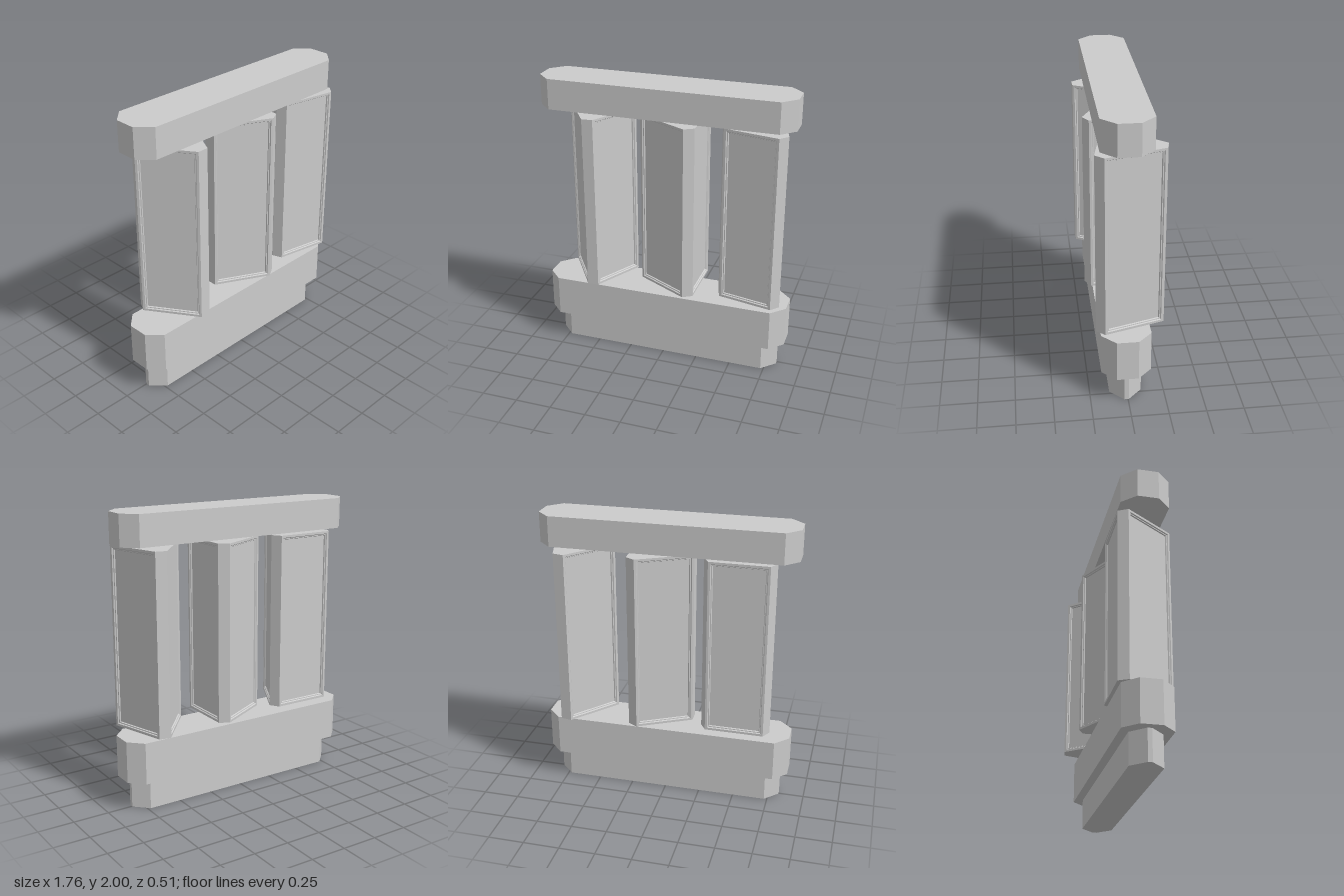
import * as THREE from 'three';

const grey = new THREE.MeshStandardMaterial({ color: 0xcccccc, flatShading: true });

// Long slab with chamfered vertical corners
function slab(name, width, depth, chamfer, y0, y1) {
  const w = width / 2, d = depth / 2, c = chamfer;
  const shape = new THREE.Shape([
    [-w + c, -d], [w - c, -d], [w, -d + c], [w, d - c],
    [w - c, d], [-w + c, d], [-w, d - c], [-w, -d + c],
  ].map(([x, y]) => new THREE.Vector2(x, y)));
  const geo = new THREE.ExtrudeGeometry(shape, { depth: y1 - y0, bevelEnabled: false });
  geo.rotateX(-Math.PI / 2);
  const mesh = new THREE.Mesh(geo, grey);
  mesh.name = name;
  mesh.position.set(0, y0, 0.01);
  return mesh;
}

// Cross-section (x, z): a triangle with cut corners; even edges are the cut corners
const section = [
  [0.178, 0.192], [0.1125, 0.231], [-0.2475, 0.039],
  [-0.2475, -0.039], [0.1125, -0.231], [0.178, -0.192],
];

// Prism over the cross-section; its wide sides can hold a sunken framed panel
function prism(name, y0, y1, scale, panelled) {
  const pos = [];
  const tri = (...pts) => pts.forEach((p) => pos.push(p.x, p.y, p.z));
  const quad = (a, b, c, d) => { tri(a, b, c); tri(a, c, d); };
  const at = (i, y) => new THREE.Vector3(section[i % 6][0] * scale, y, section[i % 6][1] * scale);

  for (let i = 0; i < 6; i++) {
    const left = at(i + 1, y0), right = at(i, y0);
    const along = right.clone().sub(left).normalize();
    const normal = along.clone().cross(new THREE.Vector3(0, 1, 0));
    // Rectangle on this side, inset from its edges and sunk below the surface
    const ring = (inset, sink) => [
      [left, 1, y0 + inset], [right, -1, y0 + inset], [right, -1, y1 - inset], [left, 1, y1 - inset],
    ].map(([p, s, y]) => p.clone().addScaledVector(along, s * inset).addScaledVector(normal, -sink).setY(y));

    const wide = panelled && i % 2 === 1;
    const rings = (wide ? [[0, 0], [0.016, 0], [0.021, 0.007], [0.027, 0.007], [0.031, 0.015]] : [[0, 0]])
      .map(([inset, sink]) => ring(inset, sink));
    for (let r = 0; r + 1 < rings.length; r++) {
      for (let k = 0; k < 4; k++) {
        const n = (k + 1) % 4;
        quad(rings[r][k], rings[r][n], rings[r + 1][n], rings[r + 1][k]);
      }
    }
    quad(...rings[rings.length - 1]);
  }
  // End caps
  for (let i = 1; i < 5; i++) {
    tri(at(0, y1), at(i + 1, y1), at(i, y1));
    tri(at(0, y0), at(i, y0), at(i + 1, y0));
  }
  const geo = new THREE.BufferGeometry();
  geo.setAttribute('position', new THREE.Float32BufferAttribute(pos, 3));
  geo.computeVertexNormals();
  const mesh = new THREE.Mesh(geo, grey);
  mesh.name = name;
  return mesh;
}

export function createModel() {
  const model = new THREE.Group();
  model.name = 'rotatingPrismStand';

  model.add(
    slab('foot', 1.645, 0.215, 0.093, 0, 0.21),
    slab('lowerBeam', 1.76, 0.33, 0.093, 0.21, 0.5),
    slab('upperBeam', 1.76, 0.33, 0.093, 1.79, 2),
  );

  // Three turning prisms on axles, each stopped at its own angle
  const turns = [
    ['rightPrism', -0.507, -0.006, 28.5],
    ['middlePrism', 0.063, -0.001, 0],
    ['leftPrism', 0.64, -0.005, 101.6],
  ];
  for (const [name, x, z, degrees] of turns) {
    const turner = new THREE.Group();
    turner.name = name;
    turner.position.set(x, 0, z);
    turner.rotation.y = -THREE.MathUtils.degToRad(degrees);
    turner.add(prism('panelPrism', 0.545, 1.775, 1, true), prism('axle', 0.49, 1.8, 0.225, false));
    model.add(turner);
  }
  return model;
}
